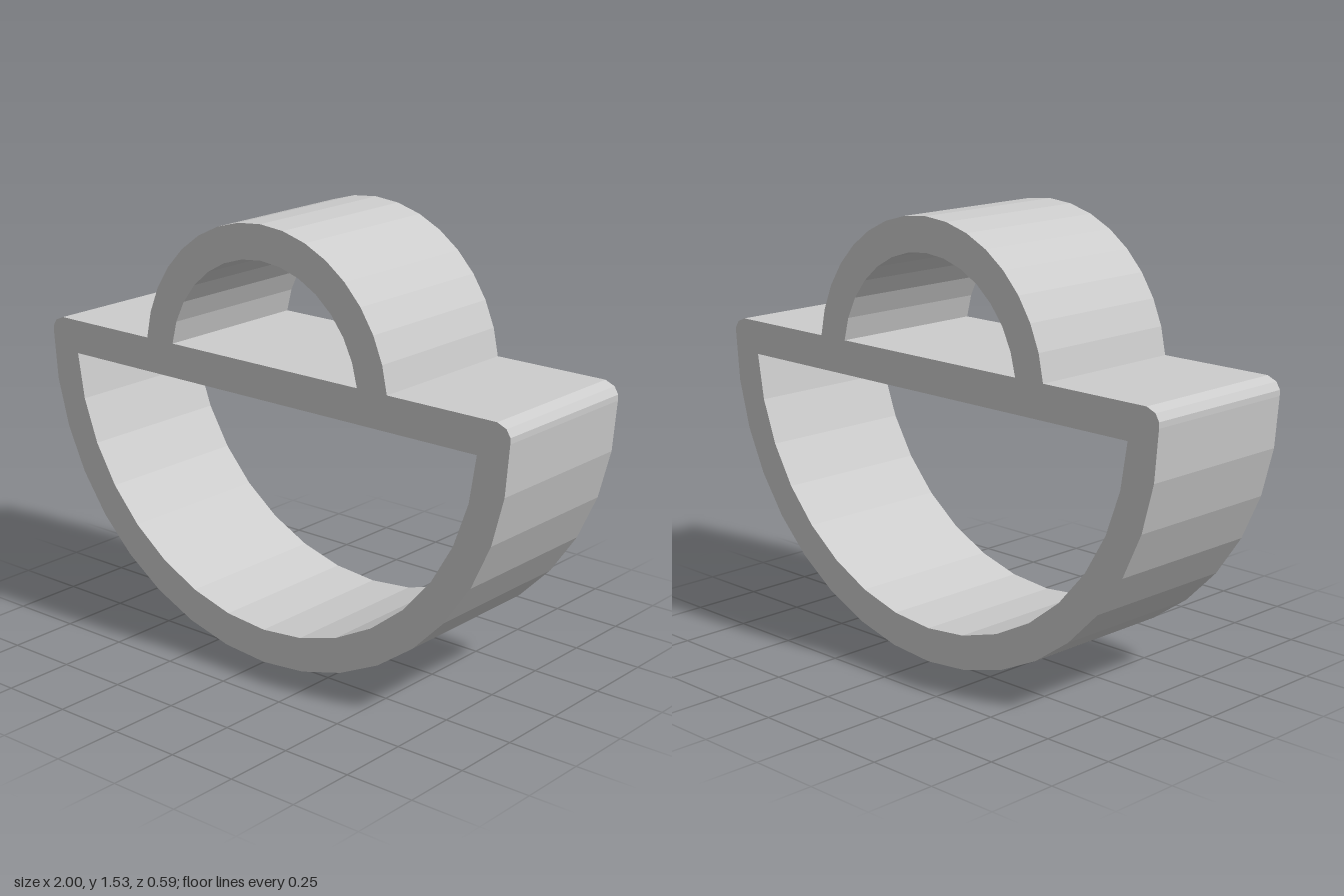
import * as THREE from 'three';

const DEPTH = 0.59;
const CENTER_Y = 1;      // shared centre of both half rings
const BAR_TOP = 1.06, BAR_BOTTOM = 0.94;

// Points along an arc about the shared centre, between two angles
function arc(radius, from, to, segments) {
  return Array.from({ length: segments + 1 }, (_, i) => {
    const a = from + (to - from) * i / segments;
    return new THREE.Vector2(radius * Math.cos(a), CENTER_Y + radius * Math.sin(a));
  });
}

// Angle at which a circle of this radius meets a given height
const angleAt = (radius, y) => Math.asin((y - CENTER_Y) / radius);

// Half-ring opening, closed by the straight bar
function opening(radius, y, segments) {
  const a = angleAt(radius, y);
  const end = y > CENTER_Y ? Math.PI - a : -Math.PI - a;
  return new THREE.Path(arc(radius, a, end, segments));
}

export function createModel() {
  const group = new THREE.Group();
  const grey = new THREE.MeshStandardMaterial({ color: 0xcccccc });
  grey.name = 'lightGrey';

  // Outline: large lower half ring, softened bar corners, small upper arch
  const a = angleAt(0.53, BAR_TOP);
  const corner = [[1, 1.02], [0.985, 1.045], [0.95, BAR_TOP]];
  const outline = new THREE.Shape([
    ...arc(1, Math.PI, 2 * Math.PI, 18),
    ...corner.map(([x, y]) => new THREE.Vector2(x, y)),
    ...arc(0.53, a, Math.PI - a, 16),
    ...corner.reverse().map(([x, y]) => new THREE.Vector2(-x, y)),
  ]);
  outline.holes.push(opening(0.88, BAR_BOTTOM, 16), opening(0.41, BAR_TOP, 14));

  const geometry = new THREE.ExtrudeGeometry(outline, { depth: DEPTH, bevelEnabled: false });
  geometry.translate(0, 0, -DEPTH / 2);
  const frame = new THREE.Mesh(geometry, grey);
  frame.name = 'doubleArchFrame';
  group.add(frame);
  return group;
}
